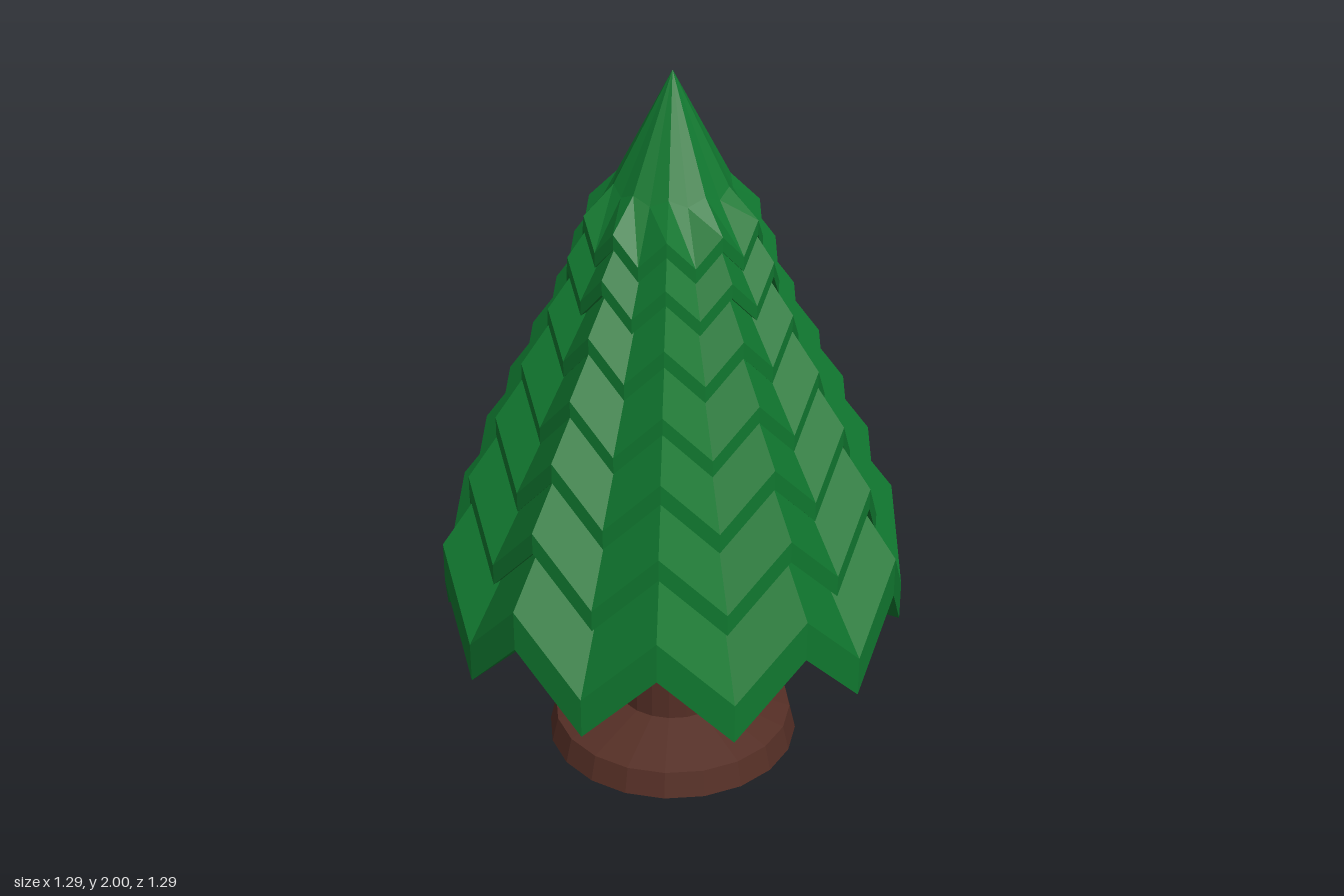
import * as THREE from 'three';

const SIDES = 20;

// Stack of 20-sided rings; each ring is [radius, height at notches, height at tips]
function zigzagTier(rings) {
  const pos = [];
  const point = ([r, high, low], i) => {
    const a = (i / SIDES) * Math.PI * 2;
    return [r * Math.sin(a), i % 2 ? high : low, r * Math.cos(a)];
  };
  for (let k = 0; k < rings.length - 1; k++) {
    const up = rings[k], down = rings[k + 1];
    for (let i = 0; i < SIDES; i++) {
      const a = point(up, i), b = point(up, i + 1);
      const c = point(down, i), d = point(down, i + 1);
      if (down[0] > 0) pos.push(...a, ...c, ...d);
      if (up[0] > 0) pos.push(...a, ...(down[0] > 0 ? d : c), ...b);
    }
  }
  const geo = new THREE.BufferGeometry();
  geo.setAttribute('position', new THREE.Float32BufferAttribute(pos, 3));
  geo.computeVertexNormals();
  return geo;
}

export function createModel() {
  const tree = new THREE.Group();
  tree.name = 'pineTree';
  const needles = new THREE.MeshStandardMaterial({ color: 0x10772f, flatShading: true });
  needles.name = 'needleGreen';
  const bark = new THREE.MeshStandardMaterial({ color: 0x542e25, flatShading: true });
  bark.name = 'barkBrown';

  const add = (name, geo, mat) => {
    const mesh = new THREE.Mesh(geo, mat);
    mesh.name = name;
    tree.add(mesh);
  };

  // Trunk with a flared foot
  const profile = [[0, 0], [0.36, 0], [0.342, 0.075], [0.16, 0.13], [0.16, 0.7]];
  add('trunk', new THREE.LatheGeometry(profile.map(([x, y]) => new THREE.Vector2(x, y)), SIDES), bark);

  // Branch tiers: [radius, rim height at the notches, rim band thickness]
  const tiers = [
    [0.645, 0.71, 0.115], [0.565, 0.91, 0.06], [0.485, 1.08, 0.055], [0.41, 1.23, 0.05],
    [0.335, 1.38, 0.045], [0.28, 1.52, 0.04], [0.235, 1.63, 0.04],
  ];
  tiers.forEach(([r, high, band], n) => {
    const low = high - 0.315 * r;
    const top = n === tiers.length - 1;
    const apex = top ? 2 : high + 1.38 * r;
    const under = high - band;
    const rings = [[0, apex, apex]];
    // The crown narrows into a steeper tip
    if (top) rings.push([0.155, 1.71, 1.69]);
    rings.push([r, high, low], [r, under, low - band], [0, under, under]);
    add('branchTier' + (n + 1), zigzagTier(rings), needles);
  });

  return tree;
}
